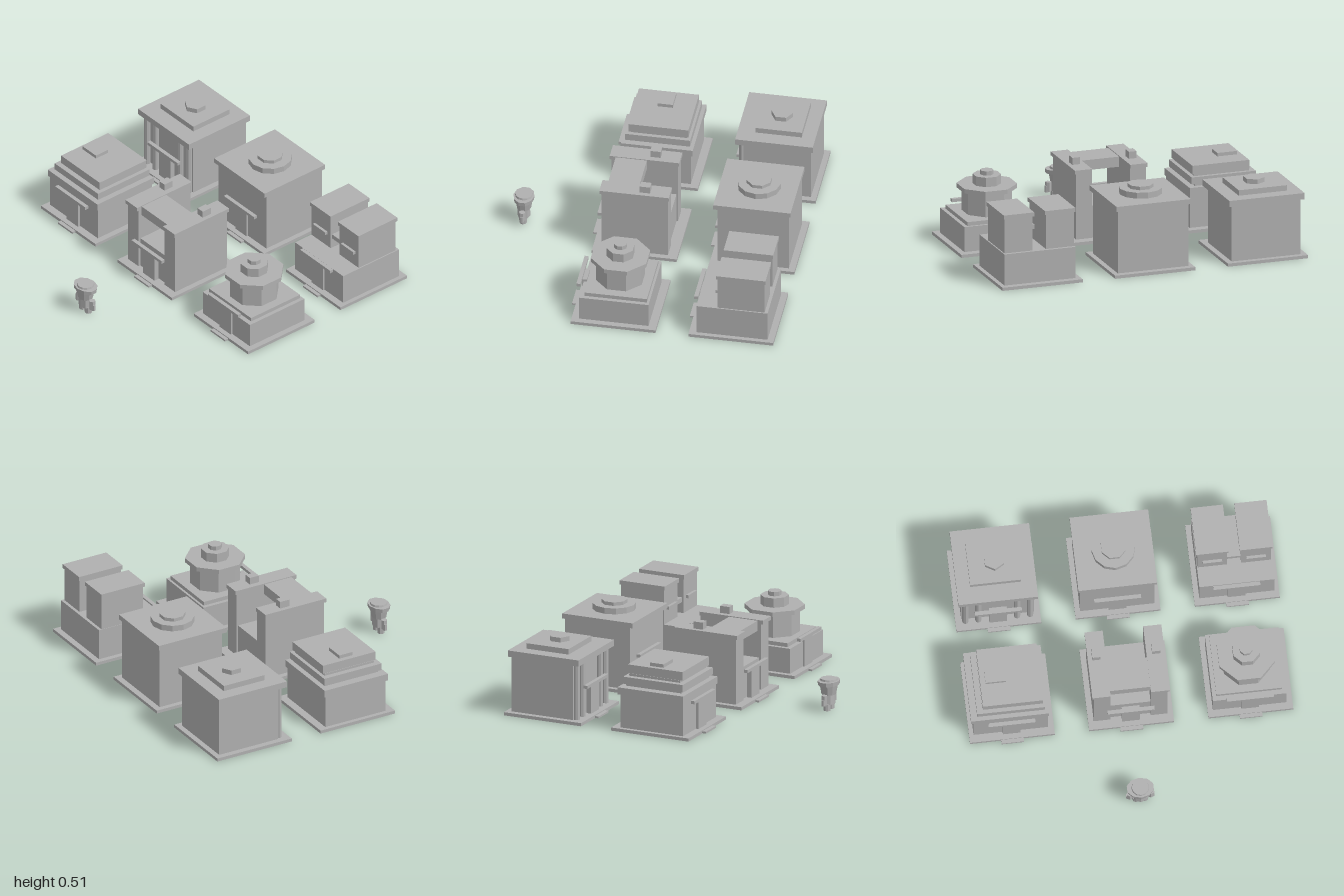
import * as THREE from 'three';

const grey = new THREE.MeshStandardMaterial({ color: 0xb0b0b0 });
grey.name = 'stoneGrey';

// Box given by its min and max on each axis
function box(group, name, x0, x1, y0, y1, z0, z1) {
  const mesh = new THREE.Mesh(new THREE.BoxGeometry(x1 - x0, y1 - y0, z1 - z0), grey);
  mesh.position.set((x0 + x1) / 2, (y0 + y1) / 2, (z0 + z1) / 2);
  mesh.name = name;
  group.add(mesh);
  return mesh;
}

// Upright faceted prism between two heights
function prism(group, name, x, z, r0, r1, y0, y1, sides, turn = 0) {
  const geo = new THREE.CylinderGeometry(r1, r0, y1 - y0, sides).rotateY(turn).toNonIndexed();
  geo.computeVertexNormals();
  const mesh = new THREE.Mesh(geo, grey);
  mesh.position.set(x, (y0 + y1) / 2, z);
  mesh.name = name;
  group.add(mesh);
  return mesh;
}

// Plot shared by all buildings: slab, doorstep, door and canopy
function plot(root, name, x, z) {
  const g = new THREE.Group();
  g.name = name;
  g.position.set(x, 0, z);
  box(g, 'groundSlab', -0.2625, 0.2625, 0, 0.02, -0.265, 0.265);
  box(g, 'doorstep', -0.07, 0.07, 0.002, 0.014, 0.25, 0.29);
  box(g, 'door', -0.055, 0.055, 0.02, 0.195, 0.2, 0.232);
  box(g, 'canopy', -0.145, 0.145, 0.205, 0.225, 0.225, 0.25);
  root.add(g);
  return g;
}

function steppedHouse(g) {
  box(g, 'body', -0.235, 0.225, 0.02, 0.24, -0.215, 0.215);
  box(g, 'lowerFloor', -0.25, 0.23, 0.235, 0.28, -0.228, 0.222);
  box(g, 'lowerRecess', -0.195, 0.185, 0.28, 0.295, -0.195, 0.185);
  box(g, 'middleFloor', -0.21, 0.21, 0.295, 0.34, -0.208, 0.2);
  box(g, 'upperRecess', -0.175, 0.185, 0.34, 0.355, -0.185, 0.165);
  box(g, 'topFloor', -0.172, 0.2, 0.355, 0.41, -0.195, 0.18);
  box(g, 'roofBox', -0.14, -0.012, 0.41, 0.432, -0.06, 0.035);
}

function bridgeHouse(g) {
  for (const s of [-1, 1]) {
    const pair = (name, a, b, y0, y1, z0, z1) =>
      box(g, name, Math.min(s * a, s * b), Math.max(s * a, s * b), y0, y1, z0, z1);
    pair('sideTower', 0.125, 0.228, 0.02, 0.445, -0.205, 0.21);
    pair('towerCap', 0.125, 0.238, 0.44, 0.465, -0.212, 0.222);
    pair('chimney', 0.16, 0.21, 0.465, 0.51, -0.09, -0.025);
  }
  box(g, 'bridge', -0.125, 0.125, 0.395, 0.46, -0.01, 0.185);
  box(g, 'lowerHall', -0.125, 0.125, 0.02, 0.225, -0.195, 0.195);
}

function domeTowerHouse(g) {
  box(g, 'body', -0.23, 0.225, 0.02, 0.18, -0.215, 0.22);
  box(g, 'roofSlab', -0.205, 0.2, 0.18, 0.205, -0.2, 0.19);
  const t = Math.PI / 8;
  prism(g, 'towerDrum', 0, 0, 0.155, 0.155, 0.205, 0.355, 8, t);
  prism(g, 'towerCap', 0, 0, 0.187, 0.187, 0.35, 0.378, 8, t);
  prism(g, 'upperDrum', 0, 0, 0.088, 0.088, 0.378, 0.438, 8, t);
  prism(g, 'finial', 0, 0, 0.042, 0.042, 0.438, 0.465, 8, t);
}

function columnHouse(g) {
  box(g, 'body', -0.225, 0.225, 0.02, 0.38, -0.23, 0.19);
  for (const x of [-0.2, -0.12, 0.12, 0.2]) {
    prism(g, 'column', x, 0.205, 0.02, 0.02, 0.02, 0.38, 8);
  }
  box(g, 'cornice', -0.247, 0.245, 0.375, 0.415, -0.245, 0.24);
  box(g, 'roofStep', -0.162, 0.153, 0.415, 0.45, -0.16, 0.13);
  prism(g, 'roofHexagon', 0, -0.012, 0.067, 0.067, 0.45, 0.48, 6);
}

function drumRoofHouse(g) {
  box(g, 'body', -0.23, 0.23, 0.02, 0.425, -0.225, 0.22);
  box(g, 'roofSlab', -0.243, 0.243, 0.42, 0.452, -0.238, 0.245);
  prism(g, 'roofDrum', 0, 0, 0.135, 0.135, 0.452, 0.49, 12);
  prism(g, 'roofDisc', 0, 0, 0.08, 0.08, 0.49, 0.512, 8, Math.PI / 8);
}

function twinTowerHouse(g) {
  box(g, 'body', -0.23, 0.235, 0.02, 0.22, -0.225, 0.22);
  for (const x of [-0.135, 0.135]) {
    box(g, 'tower', x - 0.092, x + 0.092, 0.22, 0.445, -0.205, 0.09);
    box(g, 'towerCap', x - 0.1, x + 0.1, 0.44, 0.466, -0.212, 0.098);
    box(g, 'windowLedge', x - 0.06, x + 0.06, 0.308, 0.328, 0.088, 0.108);
  }
  box(g, 'walkway', -0.045, 0.045, 0.29, 0.32, 0, 0.08);
}

// Small squat figure with a wide brimmed hat
function figure(root) {
  const g = new THREE.Group();
  g.name = 'figure';
  g.position.set(0, 0, 0.83);
  prism(g, 'hatBrim', 0, 0, 0.083, 0.086, 0.162, 0.188, 10).scale.z = 0.76;
  prism(g, 'hatTop', 0, 0, 0.055, 0.052, 0.188, 0.2, 12);
  prism(g, 'head', 0, 0, 0.05, 0.062, 0.1, 0.164, 10).scale.z = 0.9;
  prism(g, 'torso', 0, 0, 0.048, 0.045, 0.04, 0.102, 8).scale.z = 0.85;
  for (const s of [-1, 1]) {
    prism(g, 'arm', s * 0.065, 0, 0.02, 0.02, 0.045, 0.105, 6);
    prism(g, 'hand', s * 0.076, 0, 0.014, 0.014, 0.04, 0.08, 6);
    prism(g, 'leg', s * 0.027, 0, 0.023, 0.023, 0, 0.045, 8);
  }
  root.add(g);
}

export function createModel() {
  const root = new THREE.Group();
  root.name = 'townBlock';
  const back = -0.64, front = 0.095, side = 0.7375;
  steppedHouse(plot(root, 'steppedHouse', -side, front));
  bridgeHouse(plot(root, 'bridgeHouse', 0, front));
  domeTowerHouse(plot(root, 'octagonTowerHouse', side, front));
  columnHouse(plot(root, 'columnHouse', -side, back));
  drumRoofHouse(plot(root, 'drumRoofHouse', 0, back));
  twinTowerHouse(plot(root, 'twinTowerHouse', side, back));
  figure(root);
  return root;
}
